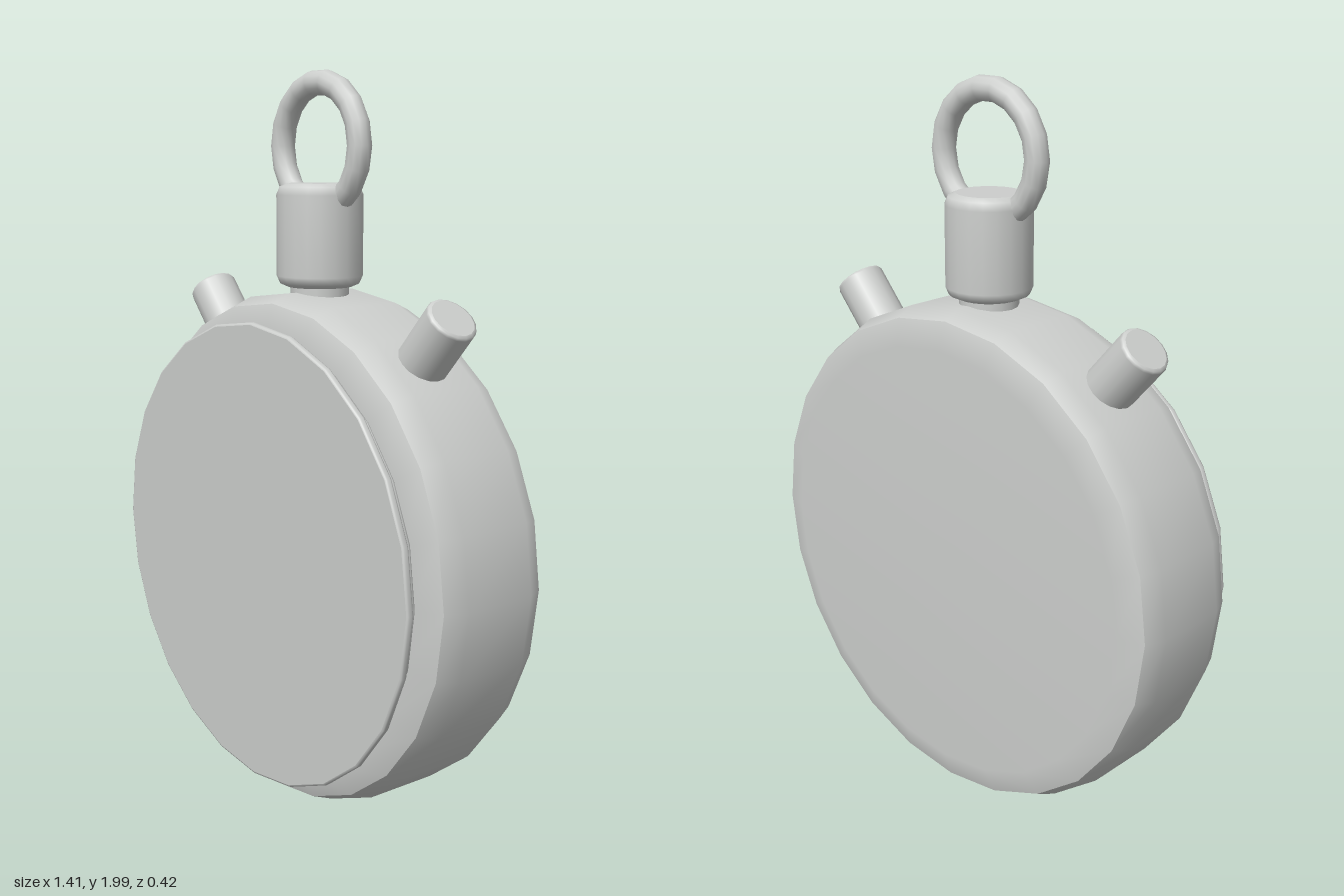
import * as THREE from 'three';

const metal = new THREE.MeshStandardMaterial({ color: 0xcccecc });
metal.name = 'pale grey metal';

// Turned part from smooth profile sections [radius, height]; a new section starts a crease
function turned(name, sections, sides) {
  const group = new THREE.Group();
  group.name = name;
  for (const section of sections) {
    const points = section.map(([r, h]) => new THREE.Vector2(r, h));
    const mesh = new THREE.Mesh(new THREE.LatheGeometry(points, sides), metal);
    mesh.name = name + 'Surface';
    group.add(mesh);
  }
  return group;
}

// Round pin with softened ends, from height a to b
function pin(name, r, a, b, bevel, sides) {
  const k = bevel * 0.3;
  return turned(name, [
    [[0, a], [r - bevel, a]],
    [[r - bevel, a], [r - k, a + k], [r, a + bevel], [r, b - bevel], [r - k, b - k], [r - bevel, b]],
    [[r - bevel, b], [0, b]],
  ], sides);
}

export function createModel() {
  const model = new THREE.Group();
  model.name = 'stopwatch';

  // Case, bezel and front glass, turned about the z axis
  const watch = new THREE.Group();
  watch.name = 'watchBody';
  watch.add(turned('case', [
    [[0, -0.213], [0.61, -0.213], [0.683, -0.19]],
    [[0.683, -0.19], [0.707, -0.137], [0.707, 0.075], [0.683, 0.135]],
    [[0.683, 0.135], [0.6, 0.167], [0, 0.167]],
  ], 24));
  watch.add(pin('bezel', 0.613, 0.16, 0.187, 0.008, 24));
  watch.add(pin('frontPlate', 0.638, 0.189, 0.209, 0.006, 24));
  const core = pin('plateSeat', 0.6, 0.18, 0.195, 0.002, 24);
  watch.add(core);
  watch.rotation.x = Math.PI / 2;
  watch.position.y = 0.71;
  model.add(watch);

  // Winding crown on its short neck
  const z = -0.025;
  const neck = pin('crownNeck', 0.08, 1.36, 1.45, 0.005, 16);
  const crown = pin('crown', 0.117, 1.43, 1.705, 0.03, 20);
  neck.position.z = crown.position.z = z;
  model.add(neck, crown);

  // Hanging ring
  const ring = new THREE.Mesh(new THREE.TorusGeometry(0.165, 0.033, 12, 18), metal);
  ring.name = 'hangingRing';
  ring.position.set(0, 1.802, z);
  model.add(ring);

  // Push buttons on both shoulders
  for (const side of [-1, 1]) {
    const button = pin(side > 0 ? 'leftButton' : 'rightButton', 0.069, -0.28, 0, 0.01, 16);
    button.position.set(side * 0.525, 1.392, z);
    button.rotation.z = -side * 0.72;
    model.add(button);
  }
  return model;
}
